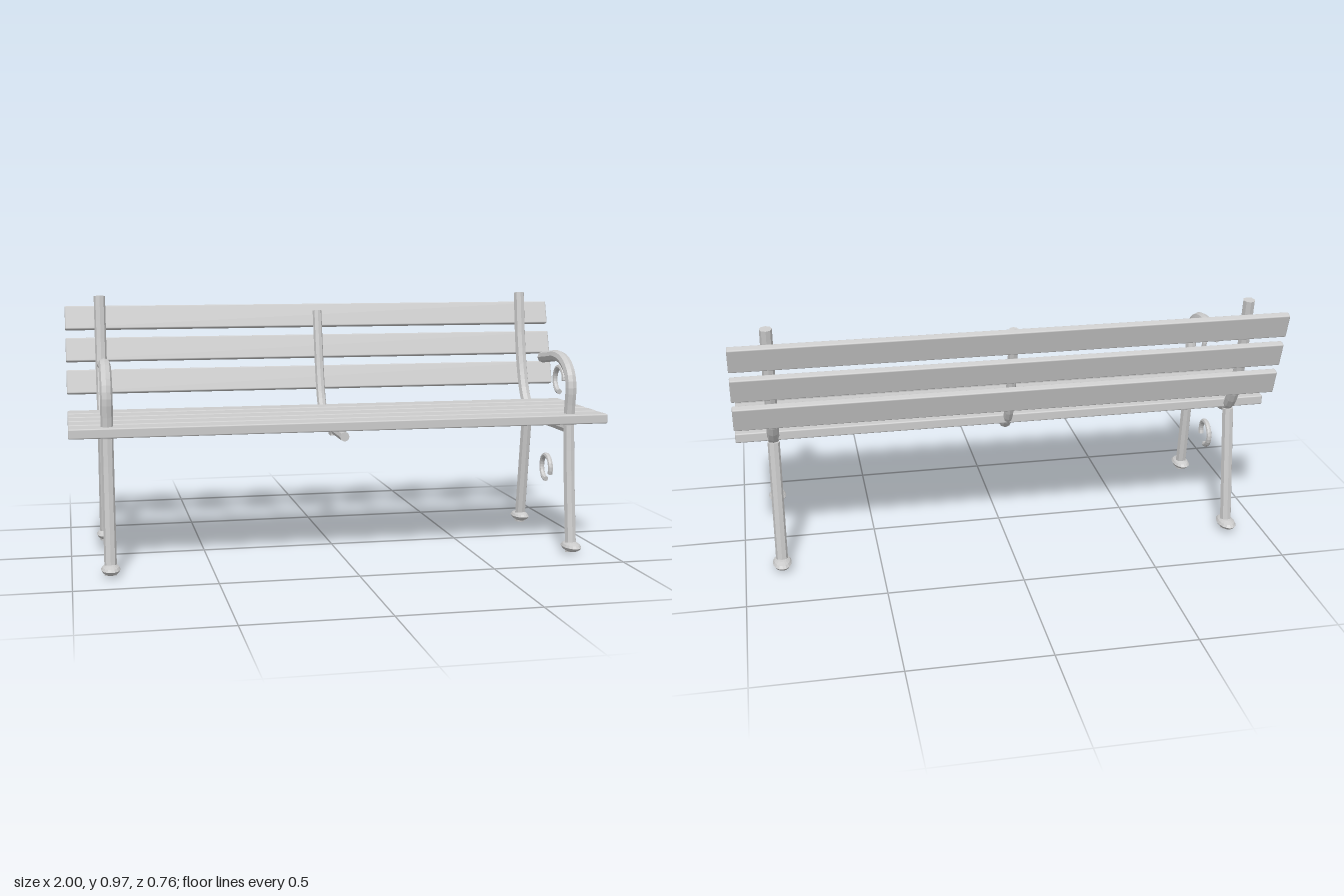
import * as THREE from 'three';
import { RoundedBoxGeometry } from 'three/addons/geometries/RoundedBoxGeometry.js';

const metal = new THREE.MeshStandardMaterial({ color: 0xcccccc, flatShading: true });
const wood = new THREE.MeshStandardMaterial({ color: 0xcccccc });
const SIDES = 8;

// Capped bar swept along [z, y] points in a plane of constant x
function bar(name, points, radius, steps) {
  const curve = new THREE.CatmullRomCurve3(points.map(([z, y]) => new THREE.Vector3(0, y, z)));
  const geo = new THREE.TubeGeometry(curve, steps, radius, SIDES);
  const index = Array.from(geo.index.array);
  const last = steps * (SIDES + 1);
  for (let j = 1; j < SIDES - 1; j++) {
    index.push(0, j, j + 1, last, last + j + 1, last + j);
  }
  geo.setIndex(index);
  const mesh = new THREE.Mesh(geo, metal);
  mesh.name = name;
  return mesh;
}

// Open scroll ring: starts near the front, passes over the top, ends at the bottom
function scroll(name, z, y, startDegrees) {
  const points = [];
  for (let i = 0; i <= 16; i++) {
    const a = THREE.MathUtils.degToRad(startDegrees + (270 - startDegrees) * i / 16);
    points.push([z + 0.048 * Math.cos(a), y + 0.048 * Math.sin(a)]);
  }
  return bar(name, points, 0.0105, 18);
}

// Flattened foot, longer from front to back
function foot(name, z) {
  const profile = [[0, 0.007], [0.03, 0.009], [0.05, 0.017], [0.06, 0.027], [0.05, 0.036], [0.03, 0.043], [0, 0.046]];
  const geo = new THREE.LatheGeometry(profile.map(([r, y]) => new THREE.Vector2(r, y)), 16);
  geo.scale(0.58, 1, 1);
  const mesh = new THREE.Mesh(geo, metal);
  mesh.name = name;
  mesh.position.z = z;
  return mesh;
}

function slat(name, height, depth, y, z, tilt = 0) {
  const mesh = new THREE.Mesh(new RoundedBoxGeometry(2, height, depth, 2, 0.005), wood);
  mesh.name = name;
  mesh.position.set(0, y, z);
  mesh.rotation.x = tilt;
  return mesh;
}

function sideFrame(name, x) {
  const frame = new THREE.Group();
  frame.name = name;
  frame.position.x = x;
  frame.add(
    bar('seatAndBackRail', [[0.27, 0.474], [0.1, 0.474], [-0.09, 0.475], [-0.16, 0.49], [-0.21, 0.54],
      [-0.25, 0.63], [-0.285, 0.77], [-0.312, 0.963]], 0.022, 28),
    bar('frontLeg', [[0.323, 0.004], [0.317, 0.045], [0.293, 0.24], [0.278, 0.39], [0.271, 0.485]], 0.022, 10),
    bar('armrest', [[0.268, 0.48], [0.276, 0.56], [0.283, 0.635], [0.262, 0.687], [0.21, 0.724],
      [0.143, 0.737], [0.066, 0.729], [-0.021, 0.718]], 0.022, 24),
    bar('backLeg', [[-0.246, 0.004], [-0.182, 0.486]], 0.022, 1),
    foot('frontFoot', 0.323),
    foot('backFoot', -0.246),
    scroll('armScroll', 0.167, 0.648, 0),
    scroll('legScroll', 0.046, 0.284, -25)
  );
  return frame;
}

export function createModel() {
  const bench = new THREE.Group();
  bench.name = 'bench';

  // Seat slats, front to back
  for (let i = 0; i < 5; i++) {
    bench.add(slat('seatSlat' + (i + 1), 0.036, 0.088, 0.512, 0.279 - i * 0.1058));
  }

  // Leaning back slats, bottom to top
  [[0.629, -0.282], [0.752, -0.32], [0.875, -0.356]].forEach(([y, z], i) => {
    bench.add(slat('backSlat' + (i + 1), 0.094, 0.028, y, z, -0.29));
  });

  // End frames
  bench.add(sideFrame('leftFrame', 0.865), sideFrame('rightFrame', -0.865));

  // Central support with its small clamp
  bench.add(bar('middleRail', [[0.245, 0.462], [0.08, 0.462], [-0.09, 0.462], [-0.145, 0.48], [-0.195, 0.535],
    [-0.235, 0.64], [-0.265, 0.77], [-0.292, 0.898]], 0.018, 28));
  const clamp = new THREE.Mesh(new THREE.BoxGeometry(0.032, 0.022, 0.043), metal);
  clamp.name = 'middleClamp';
  clamp.position.set(0, 0.451, 0.045);
  bench.add(clamp);

  return bench;
}
